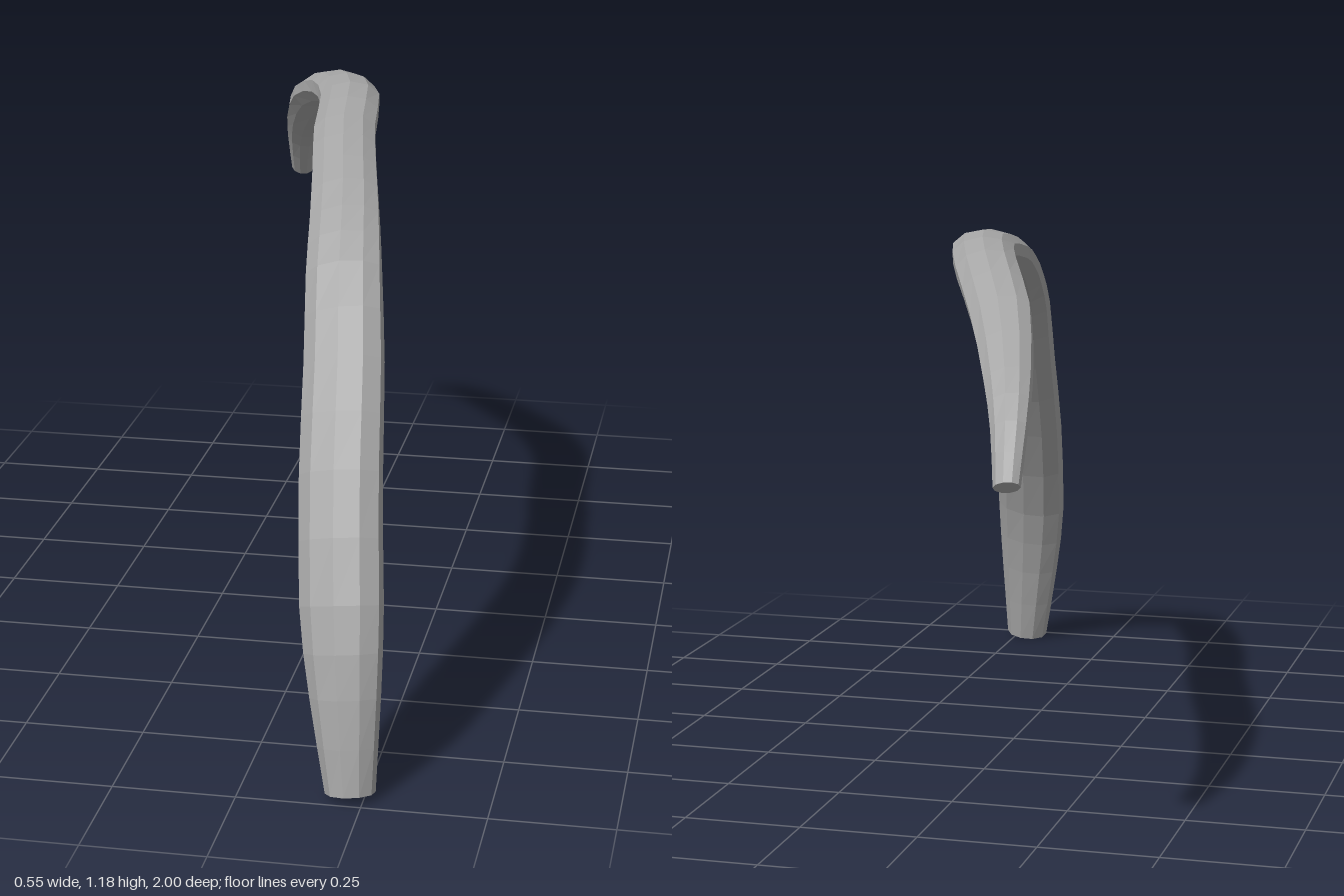
import * as THREE from 'three';

// Stations along the arch: x, y, z, half width, half thickness
const STATIONS = [
  [0.222, 0.012, 0.958, 0.049, 0.044],
  [0.205, 0.2, 0.922, 0.07, 0.05],
  [0.188, 0.37, 0.87, 0.083, 0.052],
  [0.165, 0.6, 0.752, 0.083, 0.051],
  [0.148, 0.79, 0.625, 0.081, 0.048],
  [0.125, 0.94, 0.5, 0.077, 0.045],
  [0.105, 1.015, 0.38, 0.072, 0.043],
  [0.072, 1.073, 0.2, 0.068, 0.041],
  [0.036, 1.112, 0, 0.067, 0.041],
  [0.012, 1.136, -0.2, 0.066, 0.042],
  [-0.05, 1.117, -0.4, 0.064, 0.042],
  [-0.135, 1.052, -0.6, 0.061, 0.039],
  [-0.205, 0.95, -0.8, 0.047, 0.034],
  [-0.234, 0.873, -0.9, 0.036, 0.027],
  [-0.25, 0.775, -0.978, 0.026, 0.021],
];
const SIDES = 10;
const RINGS = 29;

function sweptArch() {
  const curve = new THREE.CatmullRomCurve3(STATIONS.map(s => new THREE.Vector3(s[0], s[1], s[2])));
  const sizes = new THREE.CatmullRomCurve3(STATIONS.map(s => new THREE.Vector3(s[3], s[4], 0)));
  const positions = [];
  const index = [];

  // Flattened oval rings, kept level across the arch
  for (let i = 0; i < RINGS; i++) {
    const t = i / (RINGS - 1);
    const center = curve.getPoint(t);
    const size = sizes.getPoint(t);
    const tangent = curve.getTangent(t);
    const side = new THREE.Vector3(1, 0, 0.15);
    side.addScaledVector(tangent, -side.dot(tangent)).normalize();
    const out = new THREE.Vector3().crossVectors(side, tangent).normalize();
    for (let j = 0; j < SIDES; j++) {
      const a = ((j + 0.5) / SIDES) * Math.PI * 2;
      const p = center.clone()
        .addScaledVector(side, Math.cos(a) * size.x * 1.04)
        .addScaledVector(out, Math.sin(a) * size.y);
      positions.push(p.x, p.y, p.z);
    }
  }

  // Skin between rings
  for (let i = 0; i < RINGS - 1; i++) {
    for (let j = 0; j < SIDES; j++) {
      const k = (j + 1) % SIDES;
      const a = i * SIDES + j, b = i * SIDES + k;
      const c = a + SIDES, d = b + SIDES;
      index.push(a, c, b, b, c, d);
    }
  }

  // End caps
  const last = (RINGS - 1) * SIDES;
  for (let j = 1; j < SIDES - 1; j++) {
    index.push(0, j, j + 1);
    index.push(last, last + j + 1, last + j);
  }

  const geometry = new THREE.BufferGeometry();
  geometry.setAttribute('position', new THREE.Float32BufferAttribute(positions, 3));
  geometry.setIndex(index);
  const flat = geometry.toNonIndexed();
  flat.computeVertexNormals();
  return flat;
}

export function createModel() {
  const group = new THREE.Group();
  group.name = 'curvedArch';
  const gray = new THREE.MeshStandardMaterial({ color: 0xa6a6a6, flatShading: true });
  gray.name = 'gray';

  const arch = new THREE.Mesh(sweptArch(), gray);
  arch.name = 'taperedArch';
  group.add(arch);
  return group;
}
